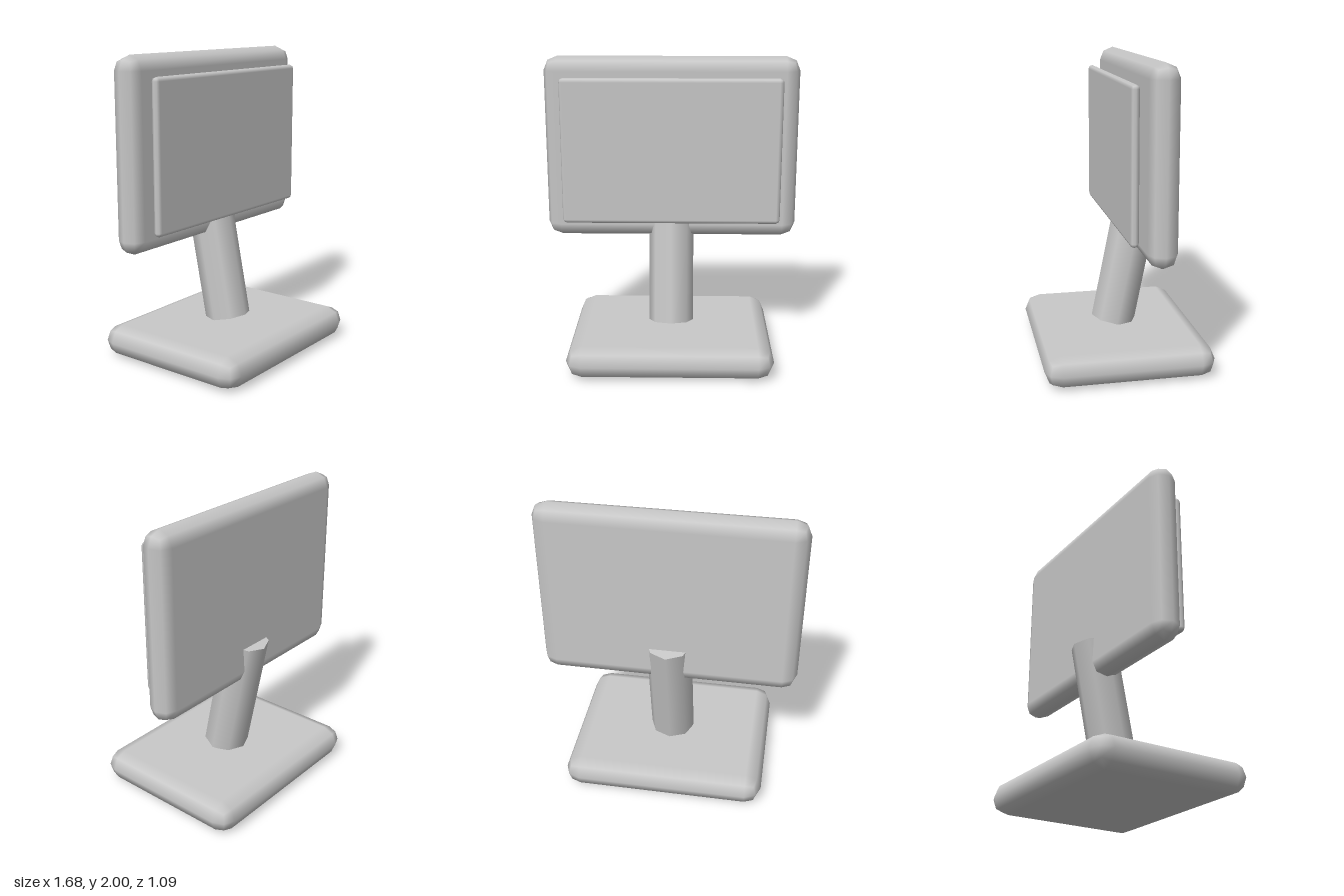
import * as THREE from 'three';
import { RoundedBoxGeometry } from 'three/addons/geometries/RoundedBoxGeometry.js';

export function createModel() {
  const model = new THREE.Group();
  model.name = 'desktopMonitor';

  const grey = new THREE.MeshStandardMaterial({ color: 0xc8c8c8 });
  grey.name = 'lightGrey';

  // Pillow-edged slab, fully rounded across its thinnest side
  function slab(name, width, height, depth, y, z) {
    const radius = Math.min(width, height, depth) / 2;
    const mesh = new THREE.Mesh(new RoundedBoxGeometry(width, height, depth, 1, radius), grey);
    mesh.name = name;
    mesh.position.set(0, y, z);
    model.add(mesh);
  }

  slab('base', 1.345, 0.21, 1.094, 0.105, 0);
  slab('screenHousing', 1.68, 1.215, 0.186, 1.3925, -0.147);
  slab('screenPanel', 1.444, 0.965, 0.053, 1.3925, 0.013);

  // Eight-sided neck leaning back from the base into the housing
  const bottom = new THREE.Vector3(0, 0.215, 0.002);
  const top = new THREE.Vector3(0, 1.055, -0.167);
  const axis = top.clone().sub(bottom);
  const neck = new THREE.Mesh(new THREE.CylinderGeometry(0.15, 0.15, axis.length(), 8), grey);
  neck.name = 'neck';
  neck.position.copy(bottom).add(top).multiplyScalar(0.5);
  neck.rotation.x = Math.atan2(axis.z, axis.y);
  model.add(neck);

  return model;
}
